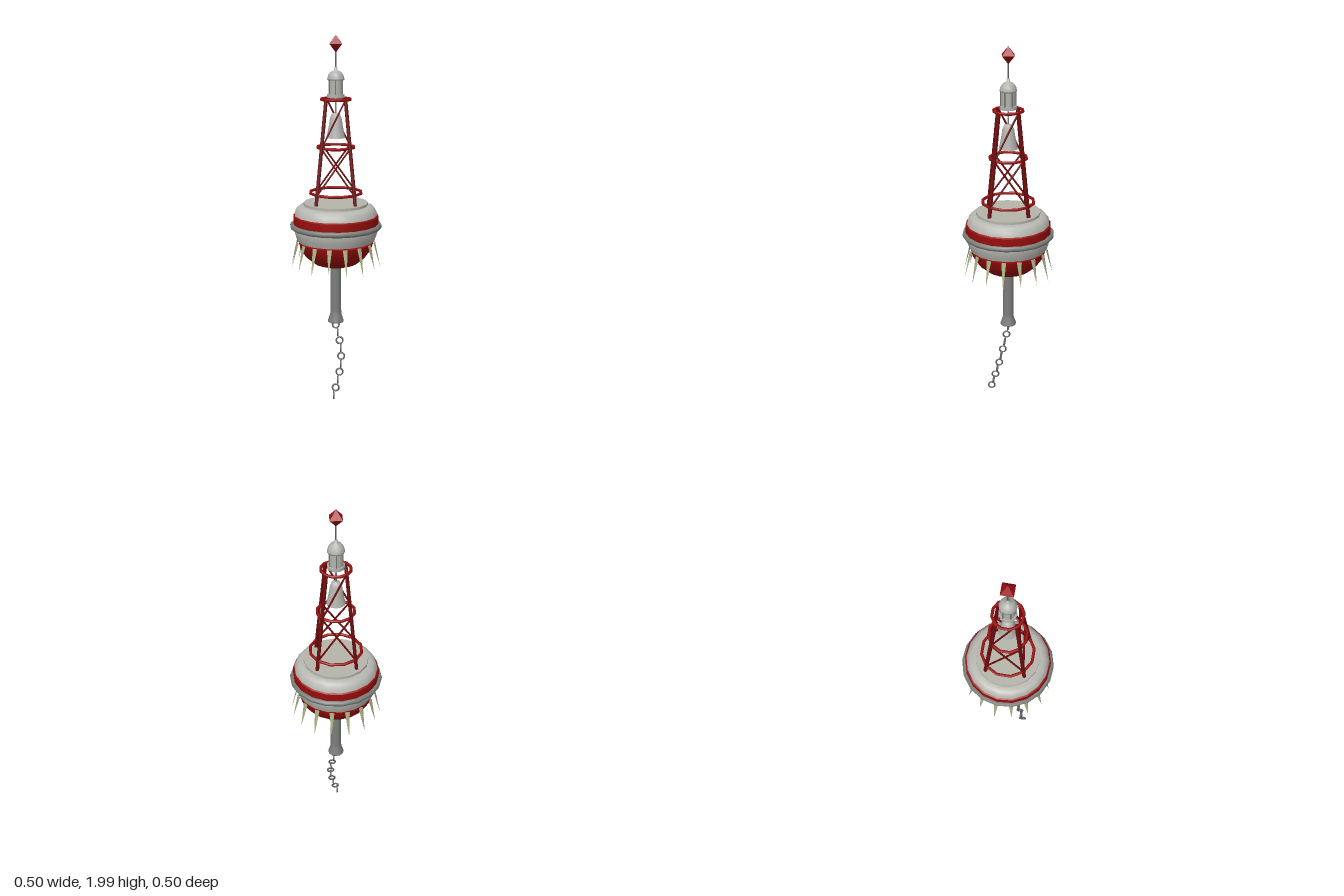
import * as THREE from 'three';

const mat = (name, color) => {
  const m = new THREE.MeshStandardMaterial({ color });
  m.name = name;
  return m;
};

export function createModel() {
  const red = mat('signal red', 0x9a0d0d);
  const towerRed = mat('tower dark red', 0x6e0a0b);
  const white = mat('hull white', 0xb9b9b3);
  const deckGrey = mat('deck grey', 0xb6b5ab);
  const galvanised = mat('galvanised grey', 0xb2b3ae);
  const steel = mat('steel grey', 0x7b7f7a);
  const chainDark = mat('chain dark grey', 0x5f6364);
  const weedGreen = mat('weed green', 0xaab086);
  weedGreen.side = THREE.DoubleSide;
  galvanised.side = THREE.DoubleSide;

  const model = new THREE.Group();
  model.name = 'buoy';
  const PHASE = Math.PI / 36;

  const add = (name, geo, material, parent = model) => {
    const mesh = new THREE.Mesh(geo, material);
    mesh.name = name;
    parent.add(mesh);
    return mesh;
  };
  const group = (name) => {
    const g = new THREE.Group();
    g.name = name;
    model.add(g);
    return g;
  };
  // Profile points are [radius, height], listed bottom to top
  const lathe = (name, pts, material, sides = 18, phase = PHASE) =>
    add(name, new THREE.LatheGeometry(pts.map(p => new THREE.Vector2(...p)), sides, phase), material);
  const ring = (name, r, tube, y, sides, phase, material, parent) =>
    add(name, new THREE.TorusGeometry(r, tube, 8, sides).rotateZ(phase).rotateX(Math.PI / 2), material, parent).position.set(0, y, 0);
  const rod = (name, a, b, r, material, parent, sides = 8) => {
    const dir = b.clone().sub(a);
    const mesh = add(name, new THREE.CylinderGeometry(r, r, dir.length(), sides), material, parent);
    mesh.position.copy(a).add(b).multiplyScalar(0.5);
    mesh.quaternion.setFromUnitVectors(new THREE.Vector3(0, 1, 0), dir.normalize());
  };

  // Floating hull: capped halves with a narrow gap at the waterline
  lathe('hullBottom', [[0, 0.751], [0.07, 0.754], [0.12, 0.771], [0.165, 0.809], [0.194, 0.85], [0.205, 0.888]], red);
  lathe('hullBottomCap', [[0.205, 0.888], [0, 0.888]], red);
  lathe('hullSideCap', [[0, 0.898], [0.21, 0.898]], white);
  lathe('hullSide', [[0.21, 0.898], [0.221, 0.925], [0.229, 0.955], [0.23, 0.99]], white);
  lathe('hullBand', [[0.23, 0.988], [0.233, 0.992], [0.233, 1.036]], red);
  lathe('hullBandTop', [[0.233, 1.036], [0.224, 1.042]], red);
  lathe('hullTop', [[0.226, 1.038], [0.22, 1.065], [0.205, 1.084], [0.18, 1.094], [0, 1.096]], white);
  ring('fender', 0.236, 0.015, 0.98, 18, PHASE, steel);
  add('deck', new THREE.CylinderGeometry(0.175, 0.175, 0.014, 16), deckGrey).position.y = 1.101;

  // Seaweed fringe around the waterline
  const fringe = group('seaweed');
  for (let i = 0; i < 16; i++) {
    const a = THREE.MathUtils.degToRad(14 + i * 22.5);
    const len = 0.146 + 0.01 * Math.sin(i * 2.4);
    const geo = new THREE.ConeGeometry(0.015, len, 6).rotateX(Math.PI).translate(0, -len / 2, 0).scale(1, 1, 0.3);
    const strand = add('weedStrand', geo, weedGreen, fringe);
    strand.position.set(Math.sin(a) * 0.212, 0.893, Math.cos(a) * 0.212);
    strand.rotation.set(-0.24, a, 0, 'YXZ');
  }

  // Counterweight column with flared foot
  lathe('column', [[0, 0.43], [0.044, 0.43], [0.044, 0.436], [0.031, 0.475], [0.03, 0.5], [0.03, 0.77]], steel, 12, 0);

  // Mooring chain
  const chain = group('chain');
  for (let i = 0; i < 10; i++) {
    const link = add('chainLink', new THREE.TorusGeometry(0.0185, 0.0045, 6, 12), chainDark, chain);
    link.position.set(0.03 * Math.sin(Math.PI * i / 8), 0.41 - 0.0425 * i, 0.0106 * i);
    link.rotation.set(-0.22, i % 2 ? Math.PI / 2 : 0, 0);
  }

  // Lattice tower: legs taper towards the top ring, braced crosswise below and singly above
  const tower = group('tower');
  const legPoint = (k, y) => {
    const r = THREE.MathUtils.mapLinear(y, 1.1, 1.667, 0.148, 0.072);
    const a = Math.PI / 4 + k * Math.PI / 2;
    return new THREE.Vector3(Math.sin(a) * r, y, Math.cos(a) * r);
  };
  const levels = [1.163, 1.41, 1.665];
  for (let k = 0; k < 4; k++) {
    rod('towerLeg', legPoint(k, 1.1), legPoint(k, 1.667), 0.0105, towerRed, tower, 6);
    rod('brace', legPoint(k, levels[0]), legPoint(k + 1, levels[1]), 0.005, towerRed, tower, 6);
    rod('brace', legPoint(k + 1, levels[0]), legPoint(k, levels[1]), 0.005, towerRed, tower, 6);
    rod('brace', legPoint(k, levels[1]), legPoint(k + 1, levels[2]), 0.005, towerRed, tower, 6);
  }
  [0.14, 0.099, 0.078].forEach((r, j) => ring('towerRing', r, 0.008, levels[j], 12, Math.PI / 12, red, tower));

  // Bell hanging inside the tower
  lathe('bell', [[0.051, 1.46], [0.047, 1.475], [0.038, 1.52], [0.031, 1.565], [0.022, 1.588], [0, 1.594]], galvanised, 12, 0);
  rod('bellHanger', new THREE.Vector3(0, 1.59, 0), new THREE.Vector3(0, 1.675, 0), 0.005, steel, model);

  // Lantern
  add('lanternBase', new THREE.CylinderGeometry(0.046, 0.046, 0.018, 12), galvanised).position.y = 1.682;
  add('lanternGlass', new THREE.CylinderGeometry(0.038, 0.038, 0.085, 12), galvanised).position.y = 1.73;
  const cage = group('lanternCage');
  for (let i = 0; i < 6; i++) {
    const a = i * Math.PI / 3;
    const p = y => new THREE.Vector3(Math.sin(a) * 0.039, y, Math.cos(a) * 0.039);
    rod('cageBar', p(1.688), p(1.772), 0.003, steel, cage, 6);
  }
  lathe('lanternDome', [[0, 1.766], [0.045, 1.766], [0.045, 1.774], [0.04, 1.793], [0.027, 1.81], [0.01, 1.816], [0.009, 1.83], [0, 1.836]], galvanised, 12, 0);

  // Topmark on its thin mast
  rod('mast', new THREE.Vector3(0, 1.82, 0), new THREE.Vector3(0, 1.93, 0), 0.0035, chainDark, model);
  const topmark = add('topmark', new THREE.OctahedronGeometry(0.046).rotateY(Math.PI / 4), red);
  topmark.position.y = 1.954;

  return model;
}
